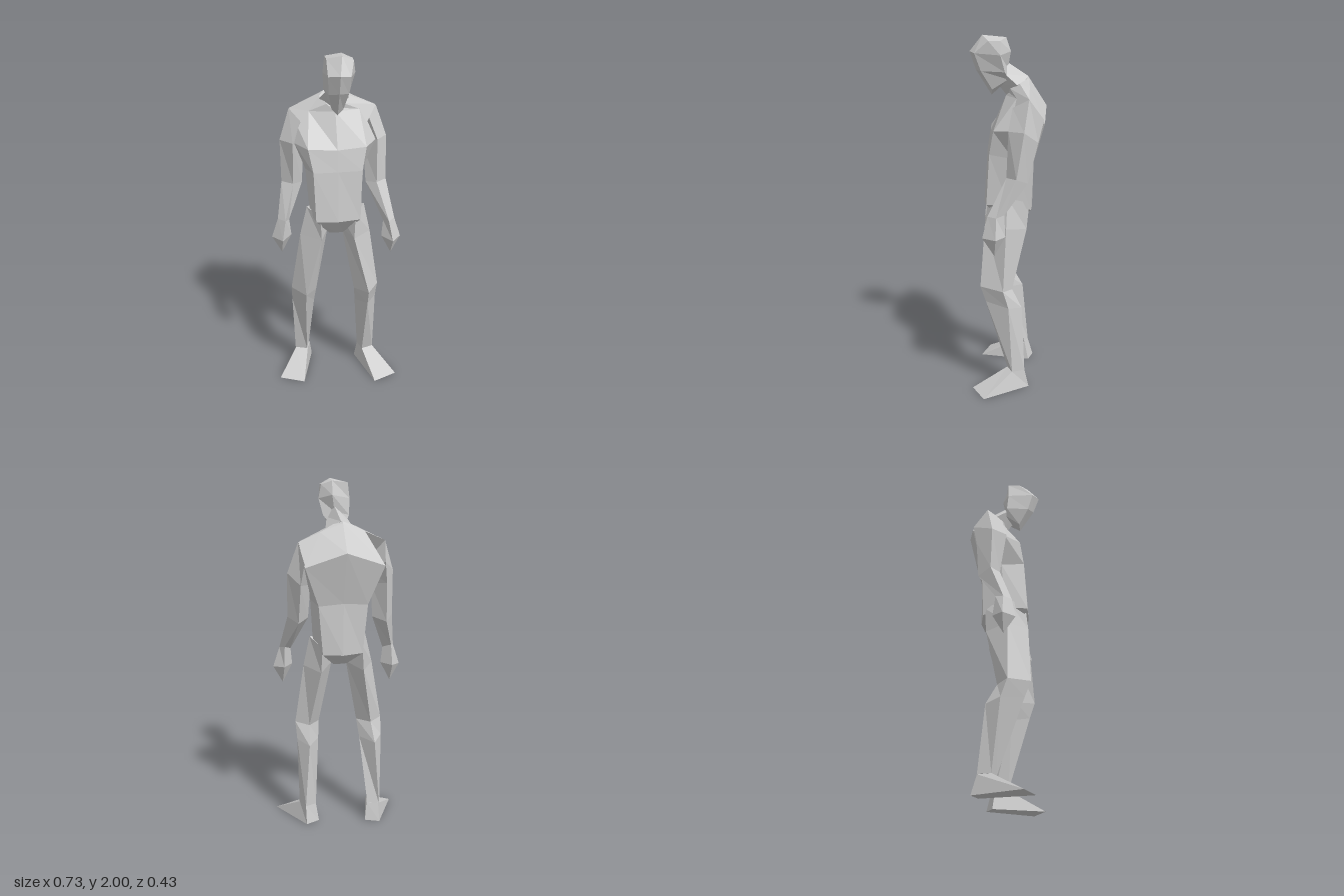
import * as THREE from 'three';

const skin = new THREE.MeshStandardMaterial({ color: 0xcccccc, flatShading: true });
skin.name = 'grey';

// Skin a stack of rings (top to bottom, each running front, left, back, right) and close both ends.
function loft(name, rings) {
  const pos = [];
  const tri = (a, b, c) => pos.push(...a, ...b, ...c);
  const n = rings[0].length;
  for (let r = 0; r < rings.length - 1; r++) {
    const a = rings[r], b = rings[r + 1];
    for (let i = 0; i < n; i++) {
      const j = (i + 1) % n;
      tri(a[i], b[i], b[j]);
      tri(a[i], b[j], a[j]);
    }
  }
  const top = rings[0], end = rings[rings.length - 1];
  for (let i = 1; i < n - 1; i++) {
    tri(top[0], top[i], top[i + 1]);
    tri(end[0], end[i + 1], end[i]);
  }
  const geo = new THREE.BufferGeometry();
  geo.setAttribute('position', new THREE.Float32BufferAttribute(pos, 3));
  geo.computeVertexNormals();
  const mesh = new THREE.Mesh(geo, skin);
  mesh.name = name;
  return mesh;
}

// Complete a half ring (front centre to back centre) with its mirror image.
const whole = (half) => [...half, ...half.slice(1, -1).reverse().map(([x, y, z]) => [-x, y, z])];

// Mirror limb rings to the right side, with a pose offset by height.
const mirrored = (rings, dx, dz) =>
  rings.map((ring) => ring.map(([x, y, z]) => [-x + dx(y), y, z + dz(y)]).reverse());

const torso = [
  [[0, 1.69, 0], [.045, 1.71, -.01], [.08, 1.74, -.06], [.05, 1.76, -.1], [.0, 1.775, -.113]],      // neck base
  [[0, 1.67, .01], [.14, 1.665, -.04], [.24, 1.67, -.1], [.125, 1.72, -.112], [0, 1.765, -.12]],    // shoulders
  [[0, 1.48, .095], [.16, 1.49, .088], [.225, 1.5, 0], [.222, 1.54, -.186], [0, 1.615, -.217]],     // chest
  [[0, 1.36, .112], [.135, 1.36, .11], [.165, 1.34, -.02], [.14, 1.32, -.135], [0, 1.33, -.14]],    // waist
  [[0, 1.07, .135], [.125, 1.075, .127], [.145, 1.07, 0], [.115, 1.04, -.125], [0, 1.035, -.14]],   // hips
  [[0, .963, .05], [.04, .963, .045], [.05, .97, 0], [.04, .965, -.05], [0, .965, -.055]],          // crotch
];

const neck = [
  [[0, 1.74, .06], [.06, 1.79, .02], [.02, 1.85, 0], [-.05, 1.79, .02]],
  [[0, 1.67, .005], [.085, 1.72, -.06], [.01, 1.775, -.115], [-.085, 1.72, -.06]],
];

// Hexagonal head, slightly turned
const head = [
  [[.015, 1.997, .14], [.08, 1.965, .11], [.085, 1.965, .045], [.03, 1.985, .01], [-.06, 1.975, .02], [-.06, 1.975, .09]],
  [[-.003, 1.91, .21], [.055, 1.9, .185], [.1, 1.89, .045], [.035, 1.91, -.015], [-.07, 1.89, .02], [-.062, 1.9, .17]],
  [[-.003, 1.81, .175], [.05, 1.805, .15], [.08, 1.8, .02], [.02, 1.82, 0], [-.065, 1.8, .01], [-.055, 1.8, .14]],
  [[0, 1.675, .09], [.03, 1.705, .088], [.05, 1.76, 0], [.01, 1.77, -.015], [-.045, 1.76, 0], [-.03, 1.705, .085]],
];

const arm = [
  [[.19, 1.62, -.015], [.243, 1.668, -.1], [.224, 1.56, -.182], [.16, 1.5, -.08]],     // shoulder
  [[.235, 1.5, .01], [.3, 1.5, -.07], [.24, 1.44, -.15], [.17, 1.43, -.06]],           // upper arm
  [[.235, 1.25, .02], [.297, 1.25, -.03], [.245, 1.22, -.095], [.18, 1.24, -.03]],     // elbow
  [[.29, 1.05, .125], [.33, 1.05, .08], [.305, 1.06, .035], [.265, 1.04, .08]],        // wrist
];
const hand = [
  arm[3],
  [[.31, .935, .155], [.367, .935, .085], [.31, .94, .03], [.255, .945, .09]],
  Array(4).fill([.312, .835, .09]),
];

const thigh = [
  [[.1, 1.1, .115], [.165, 1.12, .01], [.115, 1.08, -.115], [.03, 1.05, 0]],           // hip
  [[.09, .96, .135], [.2, .95, .02], [.12, .93, -.1], [.04, .965, 0]],
  [[.175, .61, .165], [.25, .6, .04], [.175, .59, -.015], [.105, .59, .06]],           // knee
];
const shin = [
  thigh[2],
  [[.175, .52, .135], [.245, .5, .01], [.185, .48, -.07], [.115, .49, .03]],           // calf
  [[.17, .105, .012], [.24, .105, -.012], [.215, .105, -.085], [.15, .105, -.06]],     // ankle
];
const foot = [
  shin[2],
  [[.215, 0, .215], [.357, 0, .155], [.215, 0, -.11], [.135, 0, -.075]],
];

export function createModel() {
  const body = new THREE.Group();
  body.name = 'body';
  body.add(loft('torso', torso.map(whole)), loft('neck', neck), loft('head', head));

  // Limbs: the right hand and foot sit further back than the left ones
  const armDz = (y) => -.095 * THREE.MathUtils.clamp((1.5 - y) / .5, 0, 1);
  const legDz = (y) => -.06 * THREE.MathUtils.clamp((1.05 - y) / 1.05, 0, 1);
  const legDx = (y) => -.015 * Math.sin(Math.PI * THREE.MathUtils.clamp(y / 1.1, 0, 1));
  const none = () => 0;
  const limbs = [
    ['Arm', arm, none, armDz], ['Hand', hand, none, armDz],
    ['Thigh', thigh, legDx, legDz], ['Shin', shin, legDx, legDz], ['Foot', foot, none, legDz],
  ];
  for (const [part, rings, dx, dz] of limbs) {
    body.add(loft('left' + part, rings), loft('right' + part, mirrored(rings, dx, dz)));
  }
  return body;
}
